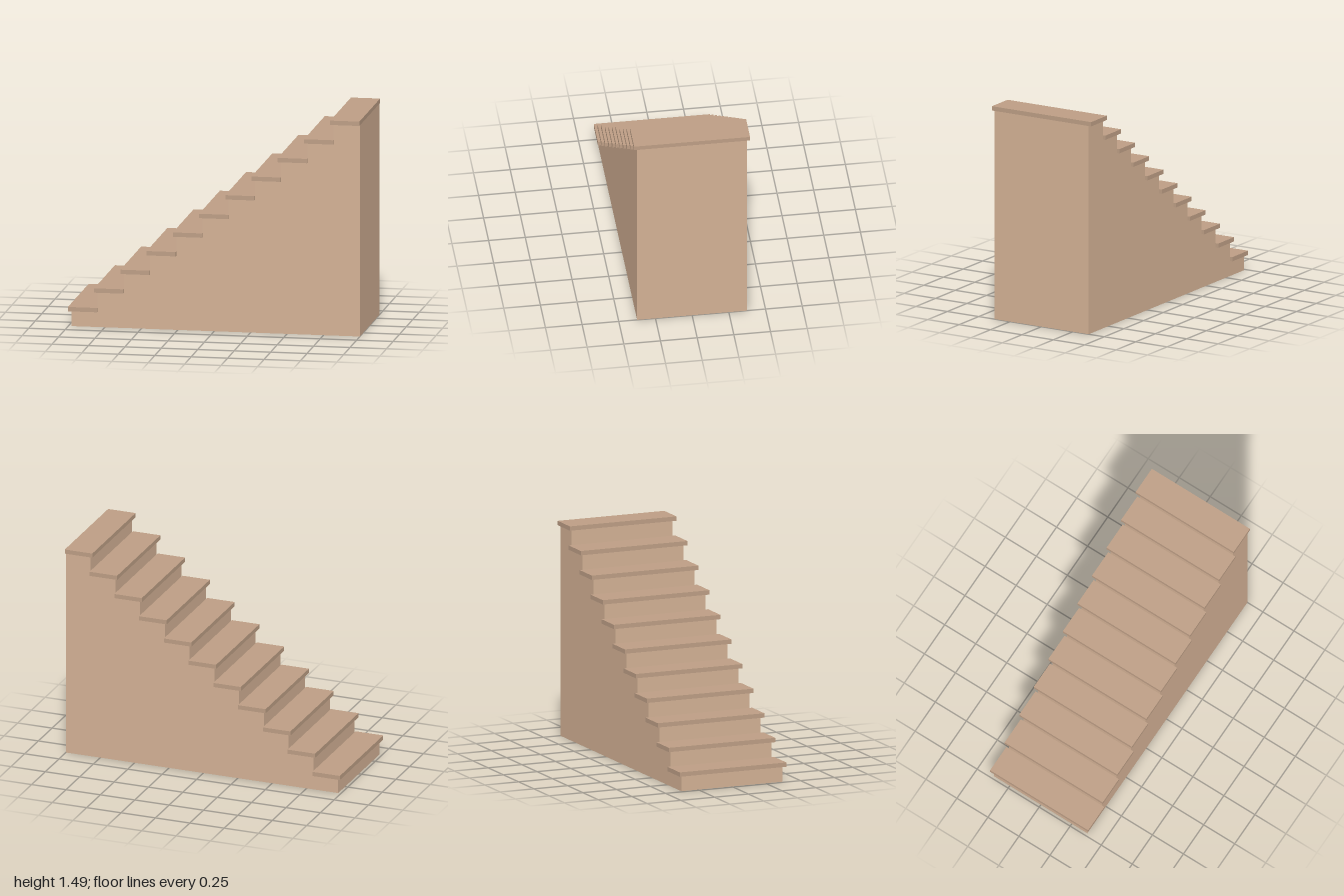
import * as THREE from 'three';

export function createModel() {
  const group = new THREE.Group();
  group.name = 'staircase';

  const steps = 11, run = 0.18, rise = 0.135;
  const treadDepth = 0.2, treadThickness = 0.03, treadWidth = 0.79;
  const nosing = 0.02, bodyWidth = 0.75;
  const bodyMaterial = new THREE.MeshStandardMaterial({ color: 0xd2b094 });
  const treadMaterial = new THREE.MeshStandardMaterial({ color: 0xbc9d84 });

  // Solid stepped body: side profile extruded across the width
  const profile = new THREE.Shape();
  profile.moveTo(1, 0);
  profile.lineTo(1, steps * rise - treadThickness);
  for (let i = steps - 1; i >= 0; i--) {
    const x = -1 + nosing + i * run;
    profile.lineTo(x, (i + 1) * rise - treadThickness);
    profile.lineTo(x, i > 0 ? i * rise - treadThickness : 0);
  }
  const bodyGeometry = new THREE.ExtrudeGeometry(profile, { depth: bodyWidth, bevelEnabled: false });
  bodyGeometry.translate(0, 0, -bodyWidth / 2);
  const body = new THREE.Mesh(bodyGeometry, bodyMaterial);
  body.name = 'steppedBody';
  group.add(body);

  // Treads overhanging the body at the nosing and both sides
  const treadGeometry = new THREE.BoxGeometry(treadDepth, treadThickness, treadWidth);
  for (let i = 0; i < steps; i++) {
    const tread = new THREE.Mesh(treadGeometry, treadMaterial);
    tread.name = `tread${i + 1}`;
    tread.position.set(-1 + i * run + treadDepth / 2, (i + 1) * rise - treadThickness / 2, 0);
    group.add(tread);
  }

  return group;
}
